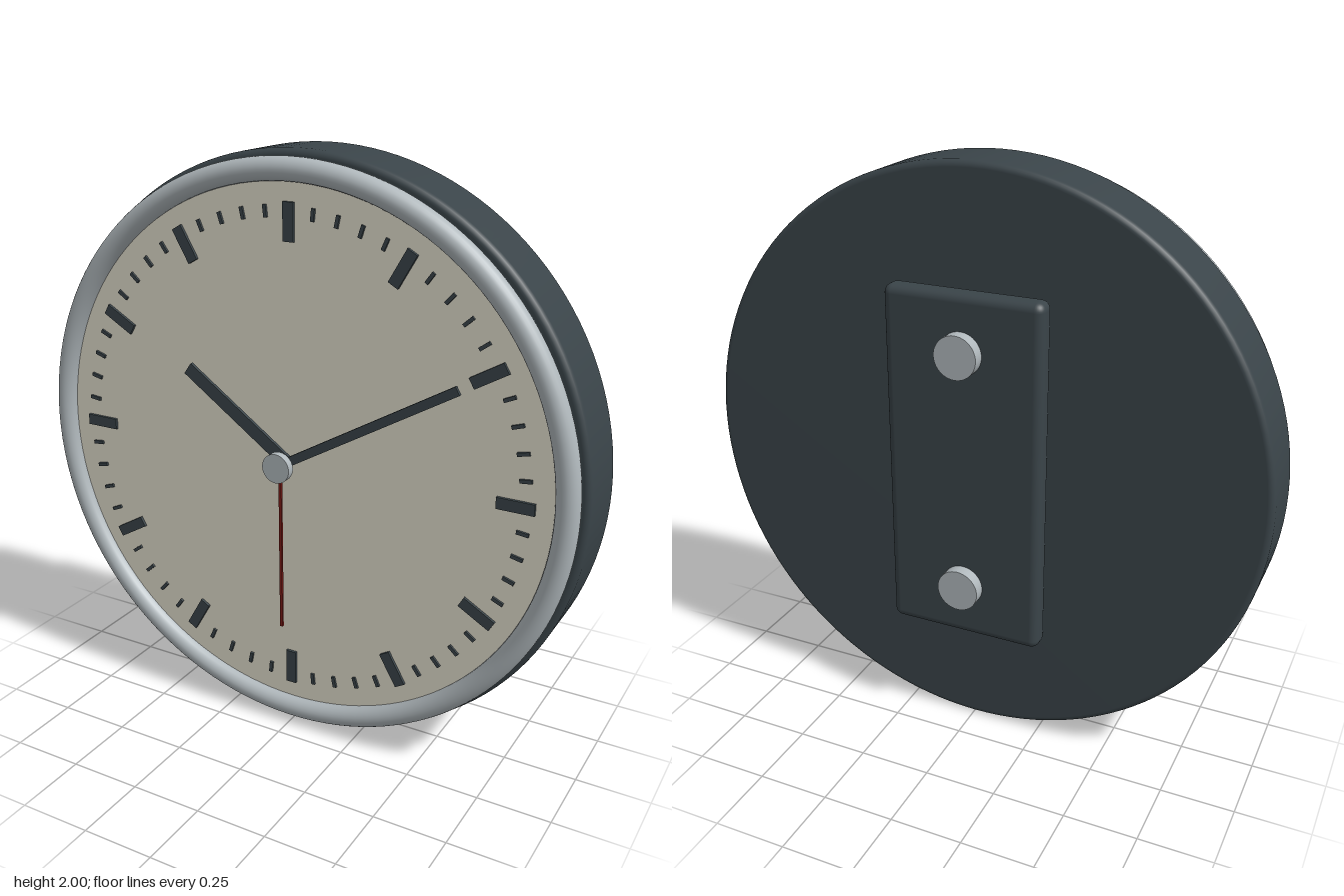
import * as THREE from 'three';
import { RoundedBoxGeometry } from 'three/addons/geometries/RoundedBoxGeometry.js';

const paint = (color) => new THREE.MeshStandardMaterial({ color });
const dark = paint(0x3a4449);
const metal = paint(0xb0b8bc);
const cream = paint(0xe0dccb);
const red = paint(0x7a1a16);

export function createModel() {
  const clock = new THREE.Group();
  clock.name = 'wallClock';

  // Everything is built around the dial centre, then lifted onto y = 0
  const body = new THREE.Group();
  body.name = 'clockBody';
  body.position.y = 1;
  clock.add(body);

  const add = (name, geometry, material, x = 0, y = 0, z = 0, parent = body) => {
    const mesh = new THREE.Mesh(geometry, material);
    mesh.name = name;
    mesh.position.set(x, y, z);
    parent.add(mesh);
    return mesh;
  };

  // Disc whose axis runs along z, from zBack to zFront
  const disc = (name, radius, zBack, zFront, material, y = 0, sides = 48) =>
    add(name, new THREE.CylinderGeometry(radius, radius, zFront - zBack, sides).rotateX(Math.PI / 2),
      material, 0, y, (zBack + zFront) / 2);

  // Flat bar pointing away from the centre, clockwise angle from twelve
  const radialBar = (name, angle, inner, outer, width, zBack, zFront, material, parent = body) => {
    const bar = add(name,
      new THREE.BoxGeometry(width, outer - inner, zFront - zBack).translate(0, (inner + outer) / 2, 0),
      material, 0, 0, (zBack + zFront) / 2, parent);
    bar.rotation.z = -angle;
    return bar;
  };

  // Housing: turned drum with rounded rims
  const back = -0.127, front = 0.113, bevel = 0.022;
  const profile = [new THREE.Vector2(0, back)];
  for (const [cy, start] of [[back + bevel, -Math.PI / 2], [front - bevel, 0]]) {
    for (let i = 0; i <= 5; i++) {
      const a = start + (i / 5) * Math.PI / 2;
      profile.push(new THREE.Vector2(1 - bevel + bevel * Math.cos(a), cy + bevel * Math.sin(a)));
    }
  }
  profile.push(new THREE.Vector2(0, front));
  add('housing', new THREE.LatheGeometry(profile, 128).rotateX(Math.PI / 2), dark);

  // Bezel ring and dial
  add('bezel', new THREE.TorusGeometry(0.943, 0.038, 24, 128), metal, 0, 0, 0.15);
  disc('dial', 0.925, 0.1, 0.15, cream, 0, 128);

  // Hour and minute marks
  const marks = new THREE.Group();
  marks.name = 'dialMarks';
  body.add(marks);
  for (let i = 0; i < 60; i++) {
    const angle = (i / 60) * Math.PI * 2;
    if (i % 5 === 0) radialBar('hourMark', angle, 0.722, 0.845, 0.038, 0.148, 0.16, dark, marks);
    else radialBar('minuteMark', angle, 0.795, 0.835, 0.012, 0.148, 0.158, dark, marks);
  }

  // Hands showing ten past ten, and the centre cap
  const deg = Math.PI / 180;
  radialBar('hourHand', 305 * deg, 0, 0.465, 0.046, 0.172, 0.184, dark);
  radialBar('minuteHand', 60 * deg, 0, 0.695, 0.03, 0.195, 0.207, dark);
  radialBar('secondHand', 180 * deg, 0, 0.59, 0.01, 0.215, 0.223, red);
  disc('centreCap', 0.05, 0.223, 0.25, metal);

  // Mounting plate and its two studs
  add('mountingPlate', new RoundedBoxGeometry(0.55, 1.22, 0.082, 4, 0.03), dark, 0, 0, -0.166);
  for (const side of [1, -1]) disc('mountingStud', 0.073, -0.25, -0.2, metal, side * 0.417);

  return clock;
}
